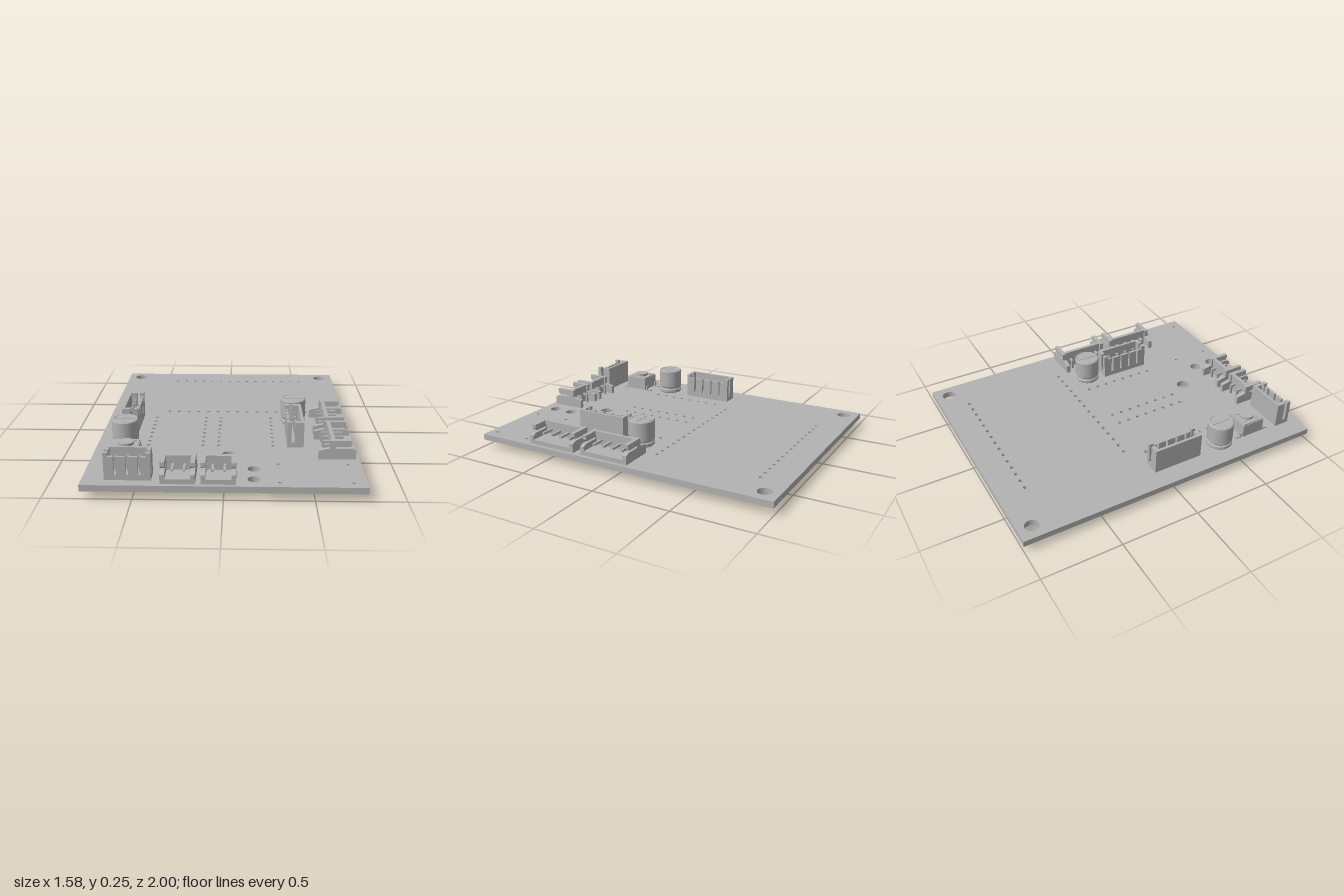
import * as THREE from 'three';

const TOP = 0.083, PITCH = 0.0667;
const grey = new THREE.MeshStandardMaterial({ color: 0xb2b2b2 });
grey.name = 'plain grey';

function add(parent, name, geometry, x = 0, y = 0, z = 0) {
  const mesh = new THREE.Mesh(geometry, grey);
  mesh.name = name;
  mesh.position.set(x, y, z);
  parent.add(mesh);
  return mesh;
}

// Box given by its limits on each axis
function block(parent, name, x0, x1, y0, y1, z0, z1) {
  return add(parent, name, new THREE.BoxGeometry(x1 - x0, y1 - y0, z1 - z0),
    (x0 + x1) / 2, (y0 + y1) / 2, (z0 + z1) / 2);
}

// Square pin with a tapered lower tip
function pin(parent, x, z, top) {
  block(parent, 'pin', x - 0.007, x + 0.007, 0.012, top, z - 0.007, z + 0.007);
  const tip = new THREE.CylinderGeometry(0.0099, 0.005, 0.012, 4).toNonIndexed();
  tip.rotateY(Math.PI / 4);
  tip.computeVertexNormals();
  add(parent, 'pinTip', tip, x, 0.006, z);
}

function place(root, name, x, z, turn = 0) {
  const g = new THREE.Group();
  g.name = name;
  g.position.set(x, 0, z);
  g.rotation.y = turn;
  root.add(g);
  return g;
}

const pinOffsets = n => Array.from({ length: n }, (_, i) => (i - (n - 1) / 2) * PITCH);

// Drilled board
function buildBoard(root) {
  const w = 0.788;
  const shape = new THREE.Shape([[-w, -1], [w, -1], [w, 1], [-w, 1]].map(p => new THREE.Vector2(...p)));
  const drill = (x, z, r) => shape.holes.push(new THREE.Path().absarc(x, z, r, 0, Math.PI * 2, true));
  for (const x of [-0.698, 0.695]) drill(x, -0.91, 0.043);
  drill(0.022, 0.57, 0.043);
  for (const z of [0.773, 0.906]) drill(0.167, z, 0.036);
  for (const z of [-0.82, -0.15])
    for (let i = 0; i < 15; i++) drill(-0.4 + i * 0.0668, z, 0.012);
  for (const x of [-0.472, -0.139, -0.042, 0.291])
    for (let i = 0; i < 8; i++) drill(x, -0.03 + i * 0.0671, 0.012);
  for (const x of [0.311, 0.714])
    for (const z of [0.705, 0.945]) drill(x, z, 0.011);
  const geo = new THREE.ExtrudeGeometry(shape, { depth: 0.038, bevelEnabled: false, curveSegments: 10 });
  geo.rotateX(Math.PI / 2);
  add(root, 'board', geo, 0, TOP, 0);
}

// Upright socket: slotted wall towards local +z
function uprightConnector(root, name, n, x, z, turn) {
  const g = place(root, name, x, z, turn);
  const h = (n - 1) * PITCH / 2 + 0.063, top = 0.245;
  block(g, 'floor', -h, h, TOP, 0.115, -0.045, 0.055);
  block(g, 'backWall', -h, h, 0.115, top, -0.045, -0.028);
  for (const s of [-1, 1]) {
    const [a, b] = s < 0 ? [-h, -h + 0.025] : [h - 0.025, h];
    block(g, 'endWall', a, b, 0.115, top, -0.028, 0.01);
    block(g, 'endPost', a, b, 0.115, top, 0.03, 0.055);
  }
  // Slotted wall panels between the pin slots
  const cuts = [-h + 0.025, ...pinOffsets(n).flatMap(p => [p - 0.007, p + 0.007]), h - 0.025];
  for (let i = 0; i < cuts.length; i += 2)
    block(g, 'slottedWall', cuts[i], cuts[i + 1], 0.115, 0.222, 0.038, 0.055);
  for (const p of pinOffsets(n)) pin(g, p, 0, 0.21);
}

// Lying socket: mouth towards local +z, open at the top
function lyingConnector(root, name, n, x, z, turn) {
  const g = place(root, name, x, z, turn);
  const h = (n - 1) * PITCH / 2 + 0.063, t = 0.026;
  const profile = [[-0.043, TOP], [0.175, TOP], [0.175, 0.138], [0.145, 0.15], [0.06, 0.15],
    [0.05, 0.156], [0.06, 0.162], [0.135, 0.162], [0.15, 0.174], [0.15, 0.2], [0.02, 0.2],
    [0.02, 0.152], [-0.043, 0.138]];
  const arm = new THREE.ExtrudeGeometry(new THREE.Shape(profile.map(p => new THREE.Vector2(...p))),
    { depth: t, bevelEnabled: false });
  arm.rotateY(-Math.PI / 2);
  add(g, 'leftArm', arm, h, 0, 0);
  add(g, 'rightArm', arm, -h + t, 0, 0);
  block(g, 'floor', -h + t, h - t, TOP, 0.111, 0.03, 0.175);
  block(g, 'backWall', -h + t, h - t, 0.111, 0.175, 0.03, 0.045);
  block(g, 'backWallRim', -h + t, h - t, 0.175, 0.2, 0.03, 0.053);
  for (const p of pinOffsets(n)) {
    pin(g, p, 0, 0.149);
    block(g, 'contact', p - 0.007, p + 0.007, 0.135, 0.149, 0, 0.125);
  }
}

// Round can with a waist and a cross-scored top
function capacitor(root, name, x, z) {
  const g = place(root, name, x, z);
  const profile = [[0, 0.083], [0.076, 0.083], [0.081, 0.089], [0.081, 0.106], [0.074, 0.113],
    [0.074, 0.118], [0.081, 0.126], [0.081, 0.243], [0.076, 0.249], [0.068, 0.249], [0.066, 0.246], [0, 0.246]];
  // Each band is its own lathe so the edges stay crisp
  for (let i = 0; i < profile.length - 1; i++)
    add(g, 'can', new THREE.LatheGeometry(
      [profile[i], profile[i + 1]].map(p => new THREE.Vector2(...p)), 40));
  block(g, 'topCross', -0.062, 0.062, 0.244, 0.249, -0.003, 0.003);
  block(g, 'topCross', -0.003, 0.003, 0.244, 0.249, -0.062, 0.062);
}

// Push button on four bent legs
function button(root, x, z) {
  const g = place(root, 'pushButton', x, z);
  block(g, 'body', -0.077, 0.077, 0.09, 0.175, -0.077, 0.077);
  block(g, 'cover', -0.072, 0.072, 0.175, 0.181, -0.072, 0.072);
  add(g, 'plunger', new THREE.CylinderGeometry(0.046, 0.046, 0.02, 32), 0, 0.188, 0);
  for (const sx of [-1, 1]) for (const sz of [-1, 1]) {
    const lx = sx * 0.059;
    add(g, 'rivet', new THREE.CylinderGeometry(0.01, 0.01, 0.006, 12), sx * 0.044, 0.183, sz * 0.044);
    add(g, 'foot', new THREE.BoxGeometry(0.019, 0.008, 0.035), lx, TOP + 0.004, sz * 0.101);
    add(g, 'leg', new THREE.BoxGeometry(0.019, 0.035, 0.008), lx, TOP + 0.0175, sz * 0.084);
  }
}

export function createModel() {
  const root = new THREE.Group();
  root.name = 'circuitBoard';
  const q = Math.PI / 2;
  buildBoard(root);
  uprightConnector(root, 'rightSocket', 4, -0.618, 0.081, q);
  uprightConnector(root, 'innerSocket', 4, 0.428, 0.298, -q);
  uprightConnector(root, 'frontSocket', 3, -0.53, 0.88, 0);
  lyingConnector(root, 'leftRearSocket', 4, 0.59, 0.086, q);
  lyingConnector(root, 'leftFrontSocket', 4, 0.59, 0.468, q);
  lyingConnector(root, 'frontSocketA', 2, -0.252, 0.803, 0);
  lyingConnector(root, 'frontSocketB', 2, -0.028, 0.803, 0);
  capacitor(root, 'leftCapacitor', 0.431, 0.024);
  capacitor(root, 'rightCapacitor', -0.615, 0.42);
  button(root, -0.576, 0.654);
  return root;
}
